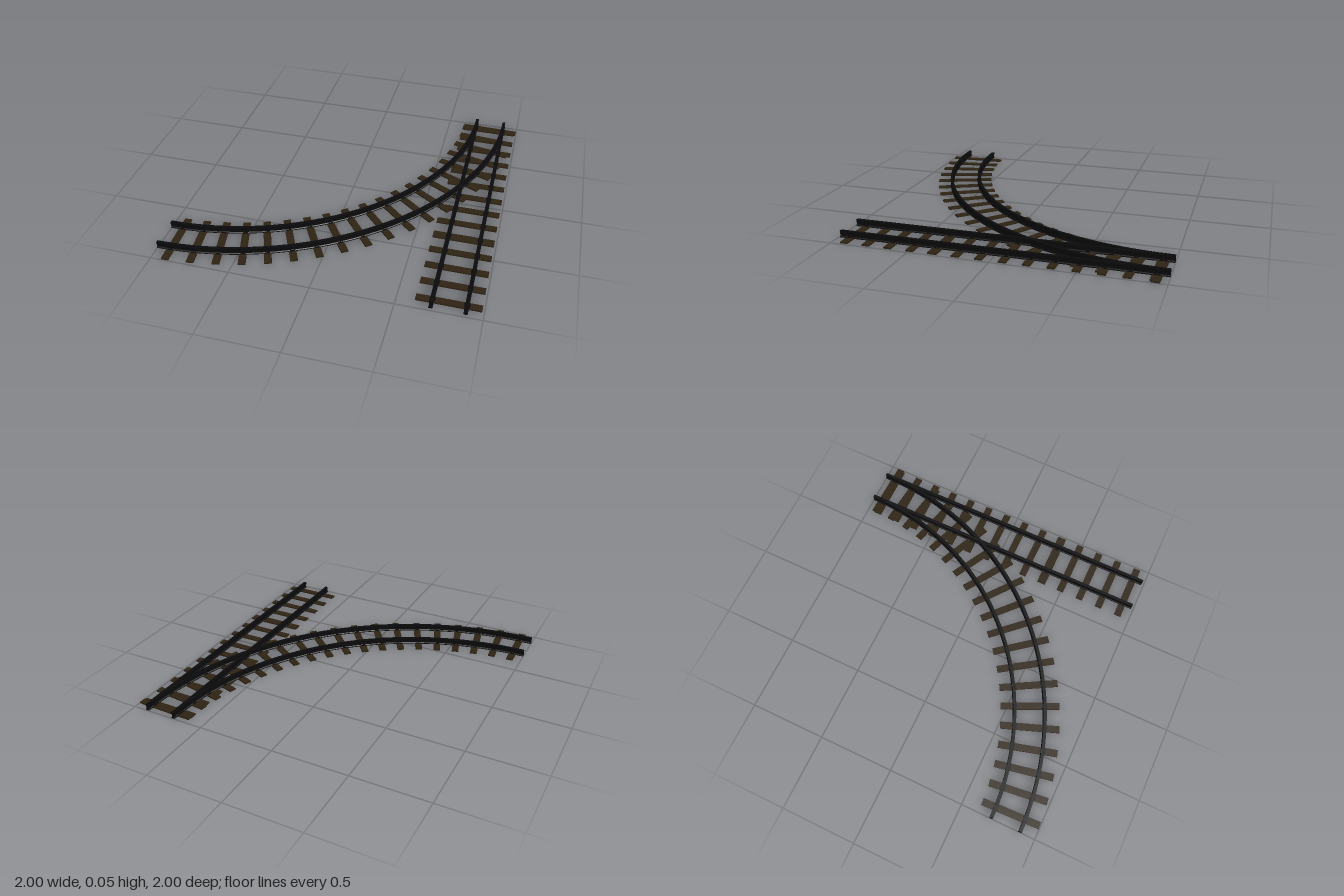
import * as THREE from 'three';
import { toCreasedNormals } from 'three/addons/utils/BufferGeometryUtils.js';

const steel = new THREE.MeshStandardMaterial({ color: 0x0a0a0c });
steel.name = 'dark steel';
const timber = new THREE.MeshStandardMaterial({ color: 0x2e2313 });
timber.name = 'dark timber';

const GAUGE = [0.703, 0.9]; // rail centres across the track
const SLEEPER_H = 0.009;

// Rail section: flared foot, web and head, centred on x = cx
function railSection(cx) {
  const half = [[0.012, 0.004], [0.012, 0.01], [0.007, 0.014], [0.007, 0.032], [0.01, 0.035], [0.01, 0.047]];
  const right = half.map(([x, y]) => new THREE.Vector2(cx + x, y));
  const left = half.map(([x, y]) => new THREE.Vector2(cx - x, y)).reverse();
  return new THREE.Shape([...right, ...left]);
}

// Straight rail along z
function straightRail(cx) {
  const g = new THREE.ExtrudeGeometry(railSection(cx), { depth: 1.985, bevelEnabled: false });
  return g.translate(0, 0, -1);
}

// Rail bent through a quarter circle about (-1, -1)
function curvedRail(radius) {
  const g = new THREE.ExtrudeGeometry(railSection(radius), { depth: Math.PI / 2, steps: 56, bevelEnabled: false });
  const p = g.attributes.position;
  for (let i = 0; i < p.count; i++) {
    const r = p.getX(i), a = p.getZ(i);
    p.setXYZ(i, -1 + r * Math.cos(a), p.getY(i), -1 + r * Math.sin(a));
  }
  return toCreasedNormals(g, 0.5);
}

function add(parent, name, geometry, material) {
  const m = new THREE.Mesh(geometry, material);
  m.name = name;
  parent.add(m);
  return m;
}

// One sleeper with its two rail plates, running along local x
function sleeper(centre, length, width, gauge) {
  const g = new THREE.Group();
  g.name = 'sleeper';
  add(g, 'sleeperBeam', new THREE.BoxGeometry(length, SLEEPER_H, width), timber)
    .position.set(centre, SLEEPER_H / 2, 0);
  for (const x of gauge) {
    add(g, 'railPlate', new THREE.BoxGeometry(0.034, 0.004, 0.03), steel)
      .position.set(x, SLEEPER_H + 0.002, 0);
  }
  return g;
}

export function createModel() {
  const model = new THREE.Group();
  model.name = 'railJunction';

  // Straight track
  const straight = new THREE.Group();
  straight.name = 'straightTrack';
  for (const x of GAUGE) add(straight, 'straightRail', straightRail(x), steel);
  for (let i = 0; i < 14; i++) {
    const s = sleeper(0.797, 0.38, i === 9 ? 0.058 : 0.047, GAUGE);
    s.position.z = -0.922 + i * 0.1415;
    straight.add(s);
  }

  // Curved track, a quarter turn
  const curve = new THREE.Group();
  curve.name = 'curvedTrack';
  const radii = GAUGE.map((x) => x + 1);
  for (const r of radii) add(curve, 'curvedRail', curvedRail(r), steel);
  for (let i = 0; i < 20; i++) {
    const s = sleeper(1.805, 0.385, 0.046, radii);
    s.position.set(-1, 0, -1);
    s.rotation.y = 0.045 + i * Math.PI / 40 - Math.PI / 2;
    curve.add(s);
  }

  model.add(straight, curve);
  return model;
}
